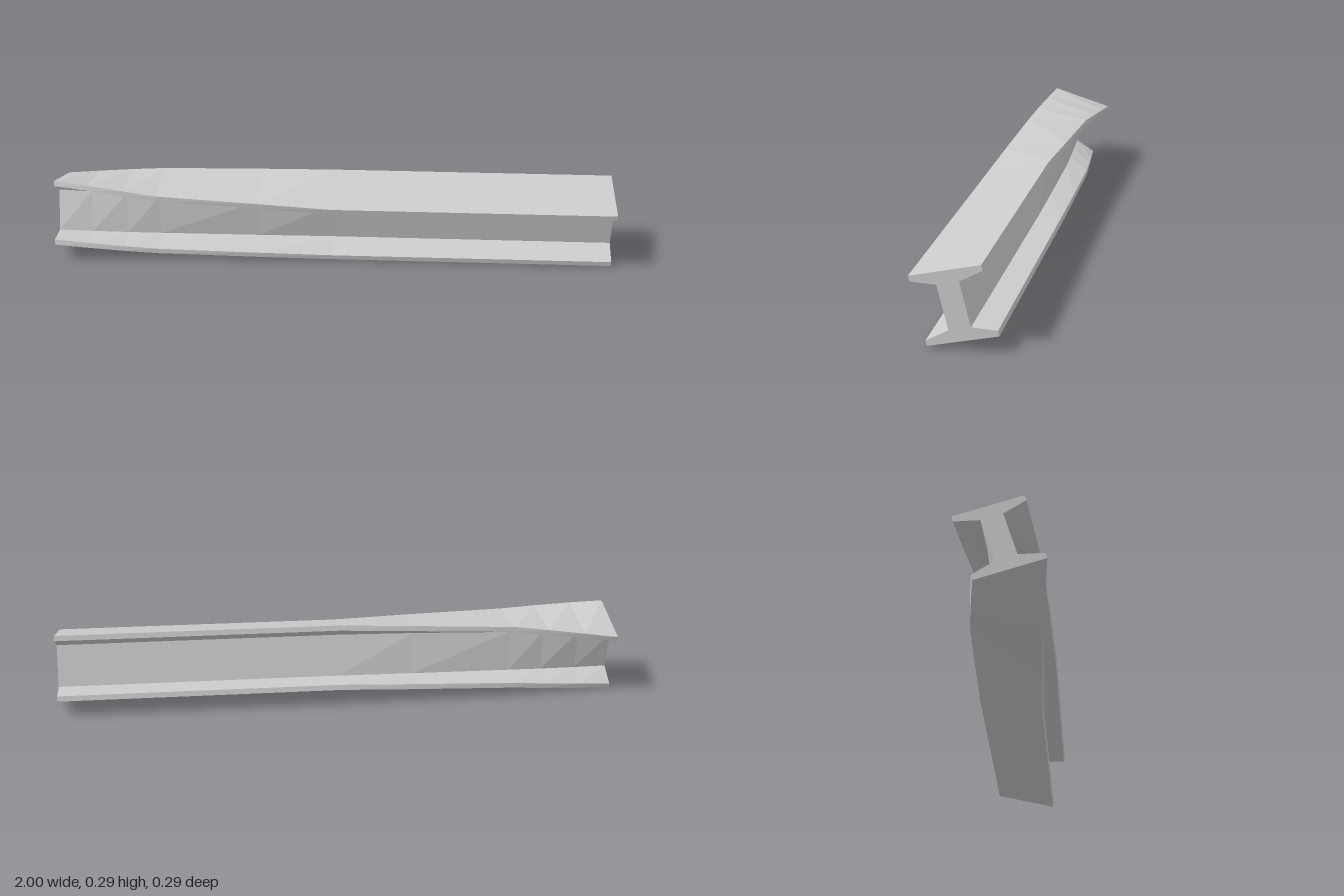
import * as THREE from 'three';

// Stations along the beam: [x, twist in degrees]
const STATIONS = [
  [1, -13.4], [0, -13.4], [-0.27, -8.2], [-0.63, -1.5],
  [-0.75, 4.5], [-0.88, 11], [-1, 16.9],
];
const CENTRE_Y = 0.145;

// I-beam section with flanges that taper towards their tips
function beamSection() {
  const half = [[0.036, -0.0745], [0.116, -0.097], [0.116, -0.1155]];
  const right = [...half].reverse().concat(half.map(([u, v]) => [u, -v]));
  const left = right.map(([u, v]) => [-u, -v]);
  return new THREE.Shape([...right, ...left].map(([u, v]) => new THREE.Vector2(u, v)));
}

export function createModel() {
  const group = new THREE.Group();
  group.name = 'twistedBeam';

  const steps = STATIONS.length - 1;
  const geometry = new THREE.ExtrudeGeometry(beamSection(), {
    steps, depth: steps, bevelEnabled: false,
  });

  // Place each extrusion step at its station and twist it about the beam axis
  const pos = geometry.attributes.position;
  for (let i = 0; i < pos.count; i++) {
    const [x, degrees] = STATIONS[Math.round(pos.getZ(i))];
    const a = THREE.MathUtils.degToRad(degrees);
    const u = pos.getX(i), v = pos.getY(i);
    pos.setXYZ(
      i, x,
      CENTRE_Y + u * Math.sin(a) + v * Math.cos(a),
      u * Math.cos(a) - v * Math.sin(a),
    );
  }
  geometry.computeVertexNormals();

  const beam = new THREE.Mesh(
    geometry,
    new THREE.MeshStandardMaterial({ color: 0xcccccc, flatShading: true }),
  );
  beam.name = 'beam';
  group.add(beam);
  return group;
}
